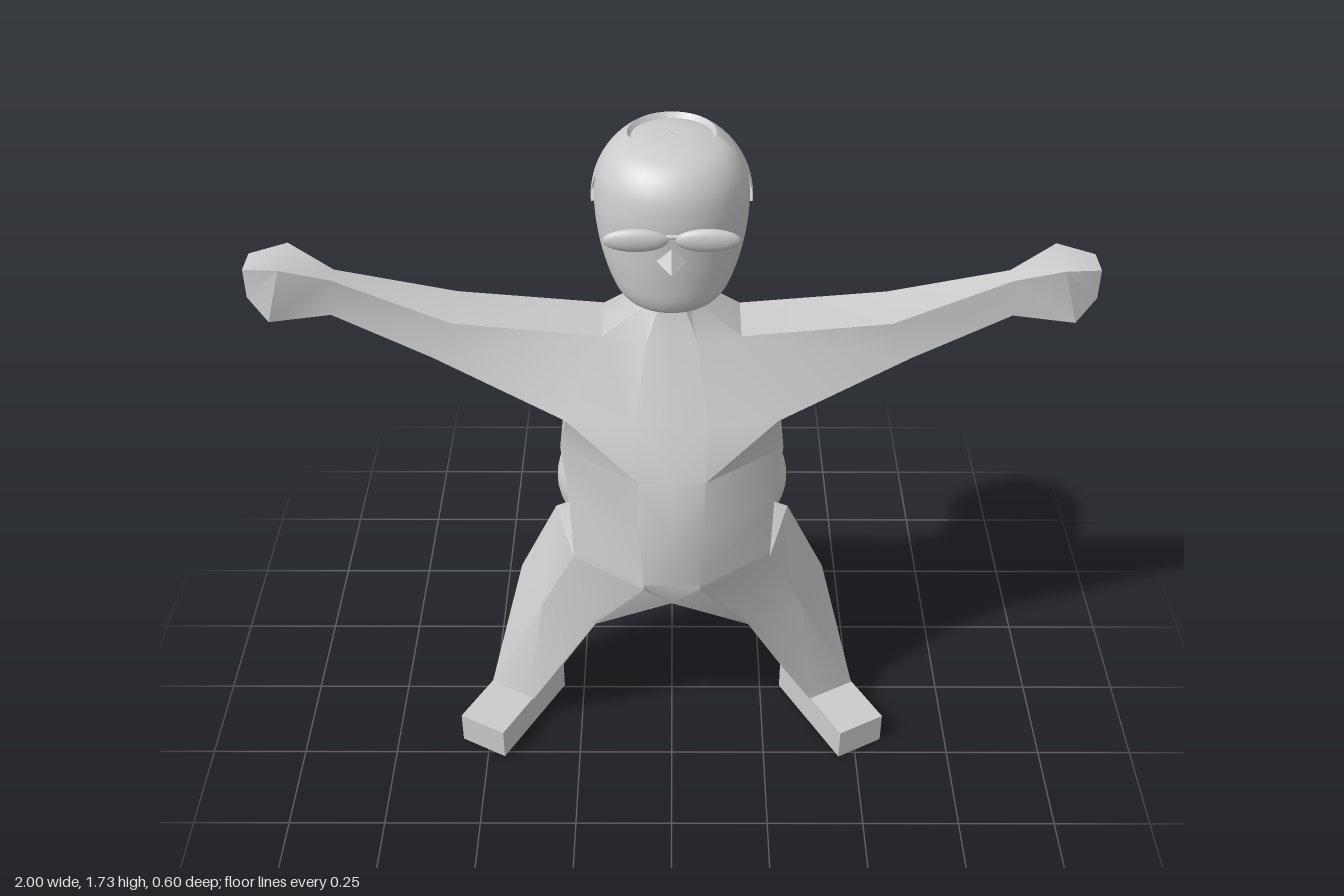
import * as THREE from 'three';
import { toCreasedNormals } from 'three/addons/utils/BufferGeometryUtils.js';
import { ParametricGeometry } from 'three/addons/geometries/ParametricGeometry.js';

const material = new THREE.MeshStandardMaterial({ color: 0xcccccc });
const twoSided = new THREE.MeshStandardMaterial({ color: 0xcccccc, side: THREE.DoubleSide });

function add(parent, name, geometry, mat = material) {
  const mesh = new THREE.Mesh(geometry, mat);
  mesh.name = name;
  parent.add(mesh);
  return mesh;
}

// Joins cross-sections into a skin on the +x side and mirrors it to -x
function skin(out, rings, { closed = true, cap = false, skip = () => false } = {}) {
  const tri = (...p) => {
    p.forEach(([x, y, z]) => out.push(x, y, z));
    [p[0], p[2], p[1]].forEach(([x, y, z]) => out.push(-x, y, z));
  };
  const n = rings[0].length;
  for (let i = 0; i < rings.length - 1; i++) {
    for (let j = 0; j < (closed ? n : n - 1); j++) {
      if (skip(i, j)) continue;
      const k = (j + 1) % n;
      const a = rings[i][j], b = rings[i][k], c = rings[i + 1][k], d = rings[i + 1][j];
      tri(a, d, b);
      tri(b, d, c);
    }
  }
  if (cap) {
    const e = rings[rings.length - 1];
    for (let j = 1; j < n - 1; j++) tri(e[0], e[j + 1], e[j]);
  }
}

function bodyGeometry() {
  const out = [];
  // Half torso sections: y, middle x, front z, side x, side front z, side back z, back z
  const torso = [
    [1.38, 0.02, 0.07, 0.03, 0.05, -0.02, -0.03],
    [1.34, 0.025, 0.08, 0.04, 0.06, -0.03, -0.04],
    [1.25, 0.06, 0.115, 0.165, 0.09, -0.06, -0.08],
    [1.06, 0.09, 0.2, 0.255, 0.17, -0.025, -0.1],
    [0.94, 0.08, 0.26, 0.275, 0.115, -0.03, -0.115],
    [0.8, 0.08, 0.28, 0.257, 0.14, -0.035, -0.14],
    [0.65, 0.07, 0.3, 0.25, 0.167, -0.035, -0.14],
  ].map(([y, m, zf, w, sf, sb, zb]) => [
    [0, y, zf], [m, y, zf], [w, y, sf], [w, y, sb], [m, y, zb], [0, y, zb],
  ]);
  const hip = [
    [0, 0.56, 0.265], [0.07, 0.635, 0.3], [0.25, 0.635, 0.17],
    [0.305, 0.635, -0.035], [0.1, 0.635, -0.14], [0, 0.56, -0.1],
  ];
  skin(out, [...torso, hip], { closed: false, skip: (i, j) => i === 2 && j === 2 });

  // Legs: hip, knee and ankle
  skin(out, [
    hip,
    [[0.2, 0.405, 0.175], [0.215, 0.405, 0.168], [0.345, 0.405, 0.1],
      [0.41, 0.405, -0.06], [0.3, 0.405, -0.065], [0.2, 0.405, -0.06]],
    [[0.382, 0.085, 0.135], [0.395, 0.085, 0.128], [0.5, 0.085, 0.07],
      [0.423, 0.085, -0.07], [0.36, 0.085, -0.035], [0.305, 0.085, -0.005]],
  ]);

  // Arms: bottom x, y, top x, y, then front and back z of bottom and top
  const arm = [
    [0.255, 1.06, 0.165, 1.25, 0.17, -0.025, 0.09, -0.06],
    [0.57, 1.195, 0.52, 1.285, 0.1, -0.08, 0.09, -0.055],
    [0.81, 1.28, 0.8, 1.375, 0.045, -0.005, 0.045, -0.005],
    [0.95, 1.285, 0.91, 1.425, 0.085, -0.045, 0.085, -0.045],
    [1, 1.335, 1, 1.41, 0.055, -0.02, 0.055, -0.02],
  ].map(([bx, by, tx, ty, bf, bb, tf, tb]) => [
    [bx, by, bf], [tx, ty, tf], [tx, ty, tb], [bx, by, bb],
  ]);
  skin(out, arm, { cap: true });

  const geometry = new THREE.BufferGeometry();
  geometry.setAttribute('position', new THREE.Float32BufferAttribute(out, 3));
  return toCreasedNormals(geometry, 0.7);
}

// Rounded skull from half width, height, front z and back z
function skullGeometry() {
  const rows = [
    [0.002, 1.345, 0.085, 0.075], [0.08, 1.35, 0.145, 0.01], [0.125, 1.38, 0.168, -0.04],
    [0.157, 1.45, 0.176, -0.1], [0.175, 1.53, 0.178, -0.145], [0.178, 1.6, 0.178, -0.165],
    [0.165, 1.66, 0.163, -0.155], [0.13, 1.705, 0.125, -0.125], [0.07, 1.726, 0.065, -0.08],
    [0.002, 1.73, 0, -0.004],
  ];
  const curve = (k) => new THREE.CatmullRomCurve3(
    rows.map((r) => new THREE.Vector3(r[0], r[1], r[k])), false, 'catmullrom');
  const front = curve(2), back = curve(3);
  return new ParametricGeometry((u, v, target) => {
    const f = front.getPoint(v), b = back.getPoint(v), a = u * Math.PI * 2;
    target.set(f.x * Math.sin(a), f.y, (f.z + b.z) / 2 + (f.z - b.z) / 2 * Math.cos(a));
  }, 40, 36);
}

// Thick band of hair round the back, with a lower step at the nape
function hairGeometry() {
  const last = 14;
  const geometry = new ParametricGeometry((u, v, target) => {
    const a = Math.PI / 2 - 0.15 + u * (Math.PI + 0.3);
    const row = Math.round(v * last);
    const low = Math.cos(a) < -0.35 ? -0.2 : 0;
    const t = (Math.min(Math.max(row, 1), last - 1) - 1) / (last - 2);
    const e = low + (1 - low) * t;
    const inner = row === 0 || row === last ? 0.75 : 1;
    const r = Math.cos(e) * inner;
    const drop = row === last ? 0.03 : 0;
    target.set(0.187 * r * Math.sin(a), 1.57 + 0.19 * Math.sin(e) - drop, -0.013 + 0.19 * r * Math.cos(a));
  }, 44, last);
  geometry.deleteAttribute('normal');
  geometry.deleteAttribute('uv');
  return toCreasedNormals(geometry, 0.7);
}

export function createModel() {
  const model = new THREE.Group();
  model.name = 'figure';
  add(model, 'body', bodyGeometry(), twoSided);

  const head = new THREE.Group();
  head.name = 'head';
  model.add(head);
  add(head, 'skull', skullGeometry());
  add(head, 'hair', hairGeometry(), twoSided);

  // Pointed nose
  const nose = add(head, 'nose', new THREE.ConeGeometry(0.042, 0.08, 4).toNonIndexed());
  nose.geometry.computeVertexNormals();
  nose.rotation.x = Math.PI / 2;
  nose.position.set(0, 1.505, 0.2);

  // Bridge of the glasses
  const bridge = add(head, 'glassesBridge', new THREE.CylinderGeometry(0.005, 0.005, 0.04, 8));
  bridge.rotation.z = Math.PI / 2;
  bridge.position.set(0, 1.575, 0.19);

  for (const [side, s] of [['left', 1], ['right', -1]]) {
    const lens = add(head, side + 'Lens', new THREE.SphereGeometry(1, 28, 16));
    lens.scale.set(0.073, 0.028, 0.016);
    lens.position.set(s * 0.08, 1.568, 0.192);

    const buttock = add(model, side + 'Buttock', new THREE.SphereGeometry(0.155, 40, 24));
    buttock.position.set(s * 0.152, 0.657, -0.145);

    // Feet turned outwards
    const foot = add(model, side + 'Foot', new THREE.BoxGeometry(0.135, 0.09, 0.31));
    foot.position.set(s * 0.439, 0.045, 0.0975);
    foot.rotation.y = s * 0.5;
  }
  return model;
}
